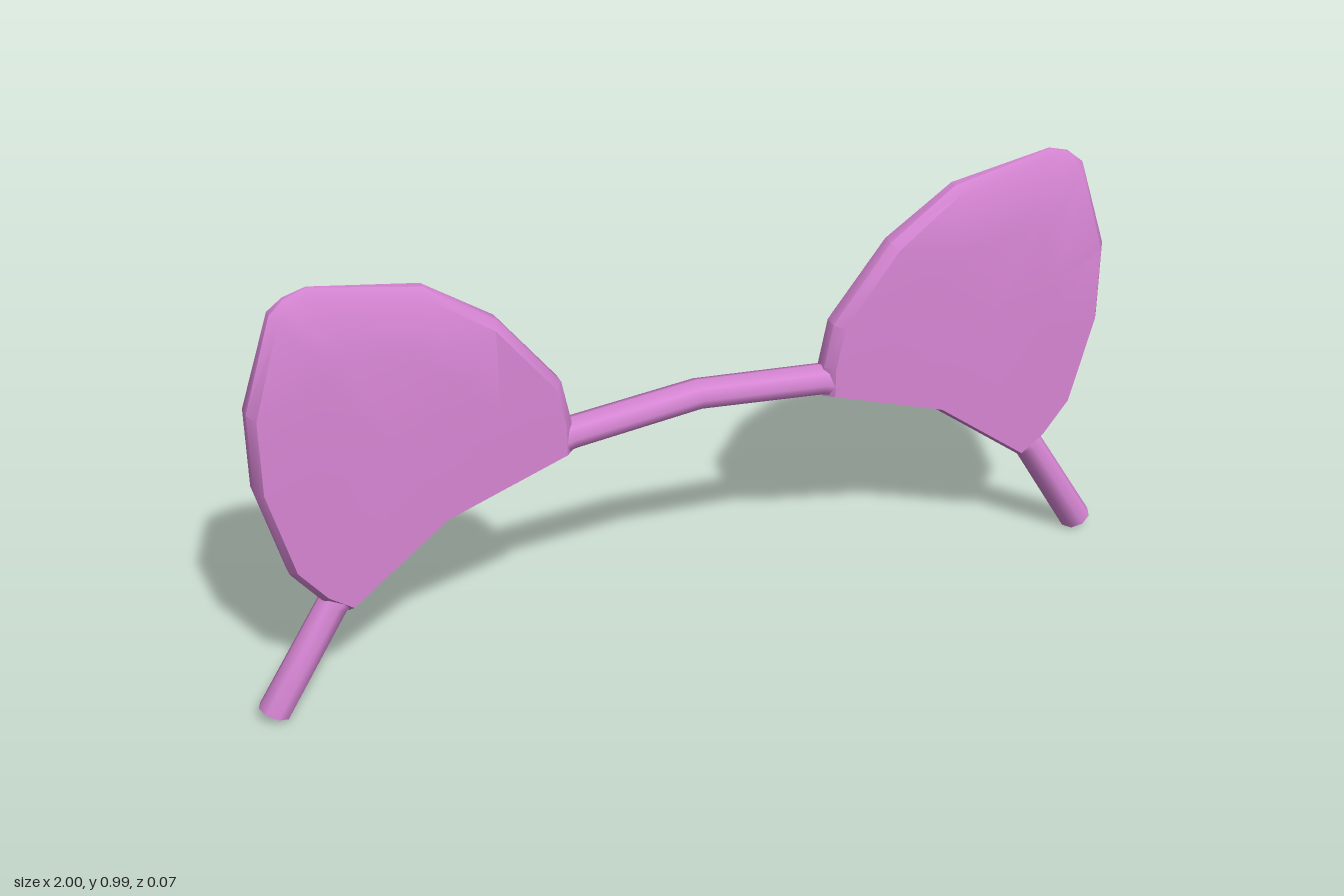
import * as THREE from 'three';
import { toCreasedNormals } from 'three/addons/utils/BufferGeometryUtils.js';

const material = new THREE.MeshStandardMaterial({ color: 0xd685d3 });

// Skin a list of equal-length rings of Vector3; end rings may shrink to a point.
function loft(rings, crease) {
  const pos = [];
  const tri = (a, b, c) => {
    if (a.equals(b) || b.equals(c) || c.equals(a)) return;
    for (const v of [a, b, c]) pos.push(v.x, v.y, v.z);
  };
  for (let i = 0; i < rings.length - 1; i++) {
    const a = rings[i], b = rings[i + 1], n = a.length;
    for (let j = 0; j < n; j++) {
      const k = (j + 1) % n;
      tri(a[j], b[j], b[k]);
      tri(a[j], b[k], a[k]);
    }
  }
  const g = new THREE.BufferGeometry();
  g.setAttribute('position', new THREE.Float32BufferAttribute(pos, 3));
  return toCreasedNormals(g, crease);
}

// Headband: octagonal sections spanned between a lower and an upper edge.
function bandGeometry() {
  const half = [ // lower x, y, upper x, y
    [0, 0.54, 0, 0.607], [0.285, 0.51, 0.295, 0.58], [0.57, 0.412, 0.605, 0.475],
    [0.793, 0.24, 0.848, 0.28], [0.935, 0.003, 1, 0.035],
  ];
  const left = half.slice(1).reverse().map(([a, b, c, d]) => [-a, b, -c, d]);
  const depth = 0.036, sides = 8;
  const rings = [...left, ...half].map(([lx, ly, ux, uy]) =>
    Array.from({ length: sides }, (_, j) => {
      const t = (j / sides) * Math.PI * 2, w = 0.5 + 0.5 * Math.cos(t);
      return new THREE.Vector3(lx + (ux - lx) * w, ly + (uy - ly) * w, -depth * Math.sin(t));
    }));
  // Close both ends
  const cap = (r) => {
    const c = r.reduce((s, v) => s.add(v), new THREE.Vector3()).divideScalar(sides);
    return r.map(() => c.clone());
  };
  return loft([cap(rings[0]), ...rings, cap(rings[rings.length - 1])], 0.9);
}

// Ear thickness thins out towards the tip.
function earDepth(y) {
  const steps = [[0, 0.037], [0.7, 0.037], [0.85, 0.033], [0.955, 0.022], [1, 0.005]];
  for (let i = 1; i < steps.length; i++) {
    const [y0, d0] = steps[i - 1], [y1, d1] = steps[i];
    if (y <= y1) return d0 + (d1 - d0) * (y - y0) / (y1 - y0);
  }
  return 0.005;
}

// Ear: rounded plate with a bevelled rim, running down into the band.
function earGeometry(side) {
  const outline = [
    [0.29, 0.51], [0.57, 0.412], [0.793, 0.24], [0.848, 0.28], [0.91, 0.36],
    [0.965, 0.57], [0.965, 0.75], [0.9, 0.955], [0.868, 0.982], [0.82, 0.997],
    [0.59, 0.955], [0.44, 0.85], [0.31, 0.68], [0.29, 0.58],
  ].map(([x, y]) => [x * side, y]);
  if (side < 0) outline.reverse();
  const cx = 0.66 * side, cy = 0.59;
  const ring = (scale, z) => outline.map(([x, y]) => {
    const py = cy + (y - cy) * scale;
    return new THREE.Vector3(cx + (x - cx) * scale, py, z * earDepth(py));
  });
  return loft([
    ring(0, 1), ring(0.6, 1), ring(0.95, 1), ring(1, 0.4),
    ring(1, -0.4), ring(0.95, -1), ring(0.6, -1), ring(0, -1),
  ], 0.7);
}

export function createModel() {
  const group = new THREE.Group();
  group.name = 'earHeadband';
  const add = (name, geometry) => {
    const mesh = new THREE.Mesh(geometry, material);
    mesh.name = name;
    group.add(mesh);
  };
  add('headband', bandGeometry());
  add('leftEar', earGeometry(1));
  add('rightEar', earGeometry(-1));
  return group;
}
